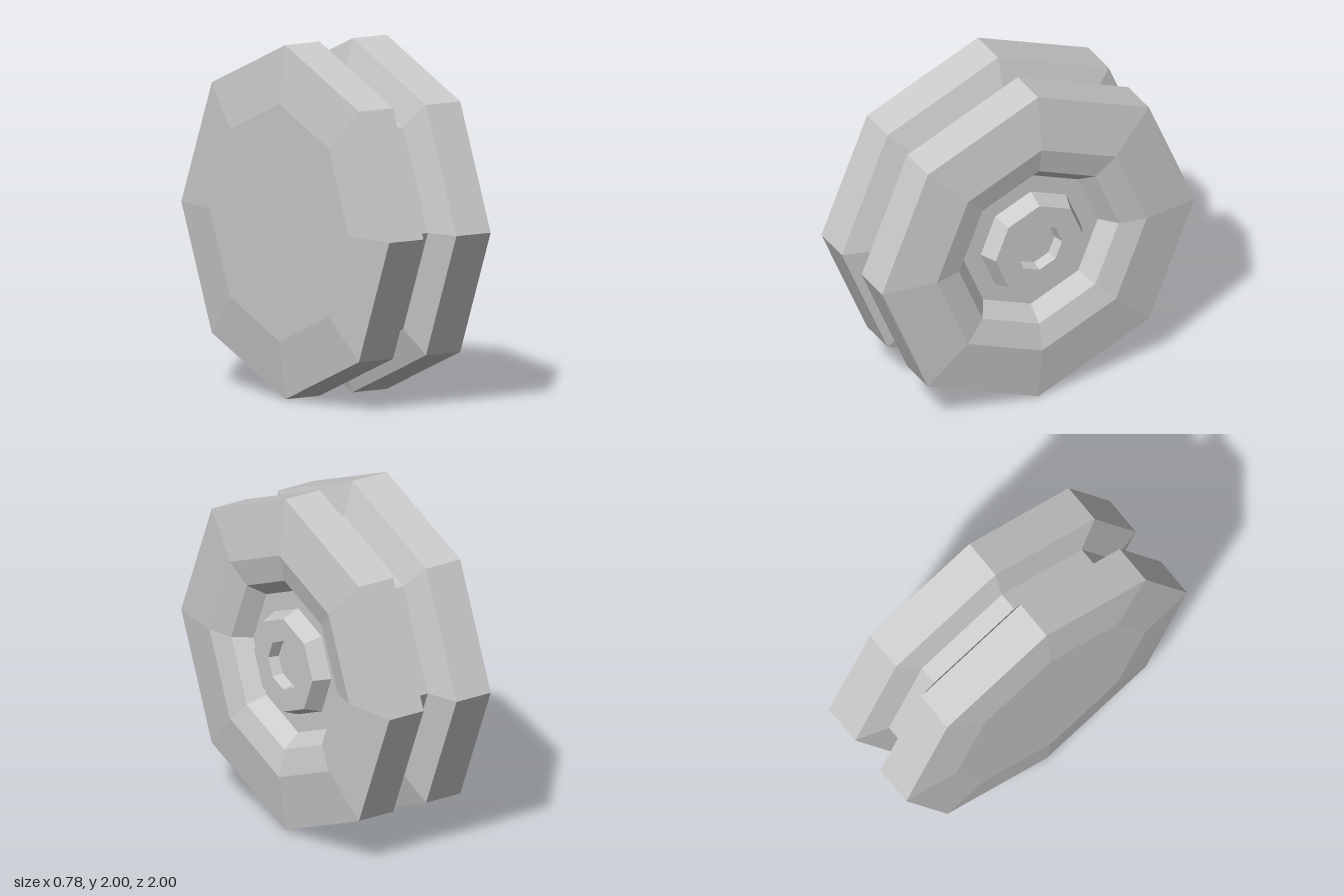
import * as THREE from 'three';

const material = new THREE.MeshStandardMaterial({ color: 0xcccccc, flatShading: true });

// Eight-sided turned part around the x axis; profile holds [radius, x] from -x to +x
function turned(name, profile) {
  const points = profile.map(([r, x]) => new THREE.Vector2(r, x));
  const geometry = new THREE.LatheGeometry(points, 8);
  geometry.rotateZ(-Math.PI / 2);
  const mesh = new THREE.Mesh(geometry, material);
  mesh.name = name;
  return mesh;
}

export function createModel() {
  const wheel = new THREE.Group();
  wheel.name = 'wheel';

  wheel.add(
    // Plain inner disc with a slightly bevelled face
    turned('innerRim', [[0, -0.39], [0.67, -0.39], [1, -0.348], [1, -0.113]]),
    // Groove between the two rims
    turned('groove', [[1, -0.113], [0.805, -0.055], [0.805, 0.055], [1, 0.113]]),
    // Outer disc with its recessed dish
    turned('outerRim', [[1, 0.113], [1, 0.348], [0.67, 0.39], [0.51, 0.355], [0.43, 0.26], [0.32, 0.26]]),
    // Raised hub with a shallow axle hole
    turned('hub', [[0.32, 0.26], [0.28, 0.362], [0.145, 0.362], [0.13, 0.3], [0, 0.3]])
  );

  wheel.position.y = 1;
  const model = new THREE.Group();
  model.add(wheel);
  return model;
}
